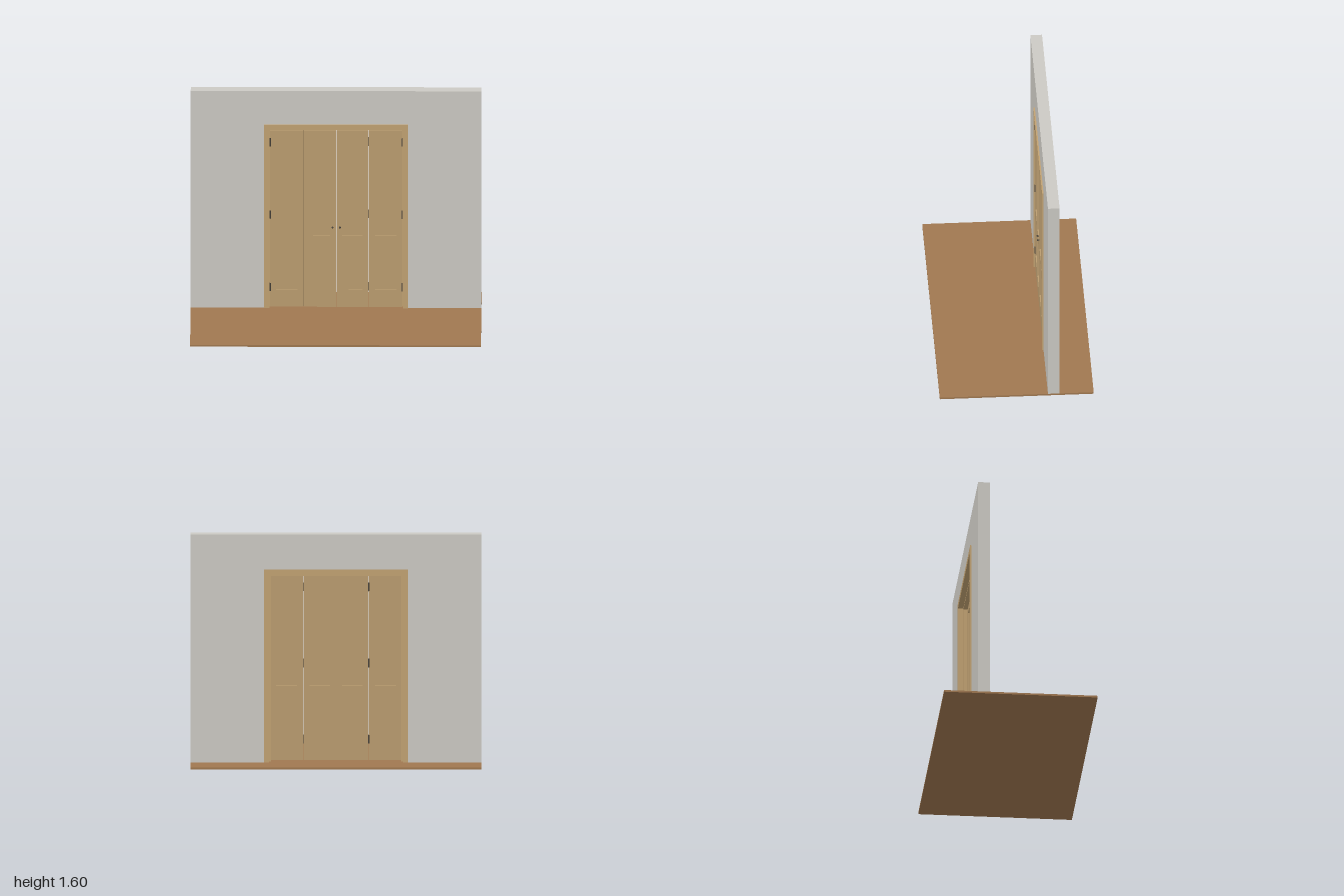
import * as THREE from 'three';

const mat = (color) => new THREE.MeshStandardMaterial({ color });
const wallMat = mat(0xcccac4);
const floorMat = mat(0xa07850);
const frameMat = mat(0xc2a272);
const doorMat = mat(0xbb9d70);
const metalMat = mat(0x4a443c);

const FLOOR = 0.013;
const WALL_BACK = -0.295, WALL_FRONT = -0.215;
const DOOR_BACK = -0.238, DOOR_FRONT = -0.215;

function add(parent, name, geometry, material) {
  const mesh = new THREE.Mesh(geometry, material);
  mesh.name = name;
  parent.add(mesh);
  return mesh;
}

// Box given by its minimum and maximum corners
function box(parent, name, material, [x0, y0, z0], [x1, y1, z1]) {
  const mesh = add(parent, name, new THREE.BoxGeometry(x1 - x0, y1 - y0, z1 - z0), material);
  mesh.position.set((x0 + x1) / 2, (y0 + y1) / 2, (z0 + z1) / 2);
  return mesh;
}

function rectPoints(x0, y0, x1, y1) {
  return [[x0, y0], [x1, y0], [x1, y1], [x0, y1]].map(([x, y]) => new THREE.Vector2(x, y));
}

function extrude(parent, name, material, shape, z0, z1) {
  const geometry = new THREE.ExtrudeGeometry(shape, { depth: z1 - z0, bevelEnabled: false });
  geometry.translate(0, 0, z0);
  return add(parent, name, geometry, material);
}

// Upside-down U around the opening, standing on the floor
function arch(parent, name, material, outerX, outerY, innerX, innerY, z0, z1) {
  const points = [
    [-outerX, FLOOR], [-innerX, FLOOR], [-innerX, innerY], [innerX, innerY],
    [innerX, FLOOR], [outerX, FLOOR], [outerX, outerY], [-outerX, outerY],
  ].map(([x, y]) => new THREE.Vector2(x, y));
  return extrude(parent, name, material, new THREE.Shape(points), z0, z1);
}

// One leaf: stiles and rails around two recessed panels
function doorLeaf(x0, x1) {
  const leaf = new THREE.Group();
  leaf.name = 'doorLeaf';
  const stile = 0.041, recess = 0.008;
  const shape = new THREE.Shape(rectPoints(x0, 0.02, x1, 1.312));
  for (const [y0, y1] of [[0.145, 0.47], [0.54, 1.265]]) {
    shape.holes.push(new THREE.Path(rectPoints(x0 + stile, y0, x1 - stile, y1)));
    box(leaf, 'recessedPanel', doorMat,
      [x0 + stile, y0, DOOR_BACK + recess], [x1 - stile, y1, DOOR_FRONT - recess]);
  }
  extrude(leaf, 'stilesAndRails', doorMat, shape, DOOR_BACK, DOOR_FRONT);
  return leaf;
}

function hinge(parent, x, y, z) {
  const mesh = add(parent, 'hinge', new THREE.CylinderGeometry(0.004, 0.004, 0.06, 12), metalMat);
  mesh.position.set(x, y, z);
}

// Small turned knob, its axis pointing forward
function knob(parent, x) {
  const profile = [[0, 0], [0.004, 0], [0.003, 0.006], [0.006, 0.009], [0.007, 0.012], [0.005, 0.016], [0, 0.017]]
    .map(([r, h]) => new THREE.Vector2(r, h));
  const mesh = add(parent, 'knob', new THREE.LatheGeometry(profile, 20), metalMat);
  mesh.rotation.x = Math.PI / 2;
  mesh.position.set(x, 0.605, DOOR_FRONT);
}

export function createModel() {
  const model = new THREE.Group();
  model.name = 'foldingDoorInWall';

  box(model, 'floor', floorMat, [-1, 0, -0.53], [1, FLOOR, 0.53]);
  arch(model, 'wall', wallMat, 1, 1.6, 0.475, 1.335, WALL_BACK, WALL_FRONT);

  // Lining, stop behind the leaves, and trim on both wall faces
  const frame = new THREE.Group();
  frame.name = 'doorFrame';
  model.add(frame);
  arch(frame, 'lining', frameMat, 0.475, 1.335, 0.459, 1.318, WALL_BACK, WALL_FRONT);
  arch(frame, 'stop', frameMat, 0.459, 1.318, 0.447, 1.306, -0.268, DOOR_BACK - 0.001);
  arch(frame, 'backTrim', frameMat, 0.495, 1.355, 0.459, 1.318, WALL_BACK - 0.01, WALL_BACK);
  arch(frame, 'frontTrim', frameMat, 0.495, 1.355, 0.459, 1.318, WALL_FRONT, WALL_FRONT + 0.01);

  // Four leaves with narrow gaps at the folds
  const doors = new THREE.Group();
  doors.name = 'doors';
  model.add(doors);
  for (const [x0, x1] of [[-0.454, -0.2265], [-0.2235, -0.0005], [0.0005, 0.2235], [0.2265, 0.454]]) {
    doors.add(doorLeaf(x0, x1));
  }

  // Hinges at the frame and at the folds
  for (const y of [0.165, 0.695, 1.225]) {
    for (const side of [-1, 1]) hinge(doors, side * 0.453, y, DOOR_FRONT);
    hinge(doors, -0.225, y, DOOR_BACK);
    hinge(doors, 0.225, y, DOOR_BACK + 0.006);
  }
  for (const side of [-1, 1]) knob(doors, side * 0.025);

  return model;
}
